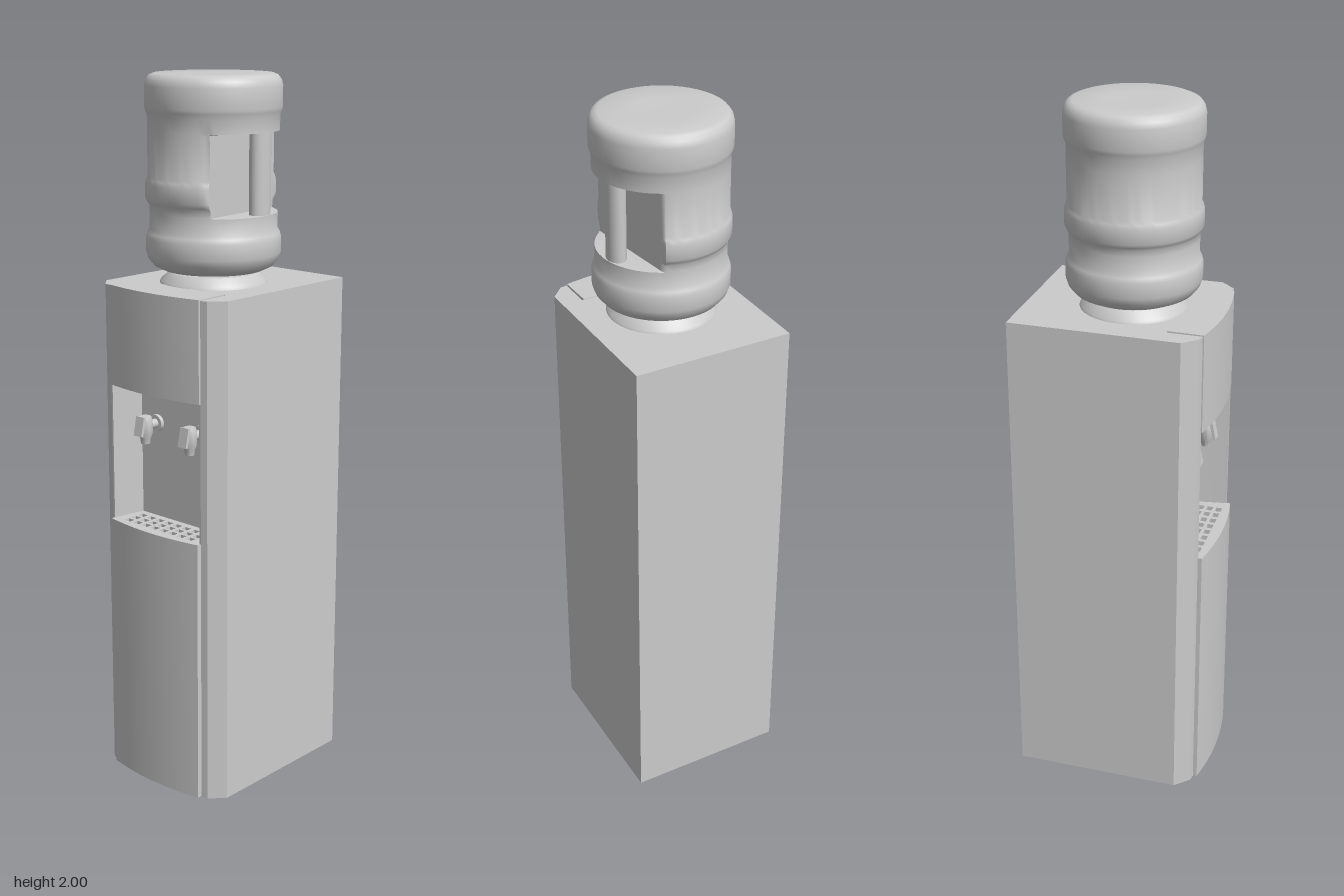
import * as THREE from 'three';
import { toCreasedNormals } from 'three/addons/utils/BufferGeometryUtils.js';

const material = new THREE.MeshStandardMaterial({ color: 0xcccccc });
const BOTTLE_Z = 0.01;

function add(parent, name, geometry, x = 0, y = 0, z = 0) {
  const mesh = new THREE.Mesh(geometry, material);
  mesh.name = name;
  mesh.position.set(x, y, z);
  parent.add(mesh);
  return mesh;
}

// Upright prism from a plan outline given as [x, z] pairs
function prism(plan, y0, y1, holes = []) {
  const toVectors = (list) => list.map(([x, z]) => new THREE.Vector2(x, -z));
  const shape = new THREE.Shape(toVectors(plan));
  holes.forEach((h) => shape.holes.push(new THREE.Path(toVectors(h))));
  const g = new THREE.ExtrudeGeometry(shape, { depth: y1 - y0, bevelEnabled: false });
  g.rotateX(-Math.PI / 2);
  g.translate(0, y0, 0);
  return toCreasedNormals(g, 0.4);
}

// Outline of a front panel with a bowed face
function bowedPlan(halfWidth, back, edge, middle) {
  const pts = [[-halfWidth + 0.002, back]];
  for (let i = 0; i <= 12; i++) {
    const t = i / 6 - 1;
    pts.push([t * halfWidth, middle - (middle - edge) * t * t]);
  }
  pts.push([halfWidth - 0.002, back]);
  return pts;
}

function lathe(points, segments) {
  return new THREE.LatheGeometry(points.map(([r, y]) => new THREE.Vector2(r, y)), segments);
}

function createCabinet() {
  const g = new THREE.Group();
  g.name = 'cabinet';
  // Shell with a channel down the front for the panels
  add(g, 'cabinetShell', prism([
    [-0.228, -0.278], [0.228, -0.278], [0.228, 0.203], [0.19, 0.243], [0.17, 0.247],
    [0.17, 0.15], [-0.17, 0.15], [-0.17, 0.247], [-0.19, 0.243], [-0.228, 0.203],
  ], 0, 1.435));
  add(g, 'lowerPanel', prism(bowedPlan(0.167, 0.149, 0.258, 0.275), 0, 0.745));
  add(g, 'upperPanel', prism(bowedPlan(0.167, 0.149, 0.25, 0.268), 1.155, 1.437));

  // Slotted drip tray on top of the lower panel
  const slots = [];
  for (let row = 0; row < 3; row++) {
    for (let i = 0; i < 8; i++) {
      const x = -0.119 + i * 0.034, z = 0.18 + row * 0.027;
      slots.push([[x - 0.011, z - 0.009], [x + 0.011, z - 0.009], [x + 0.011, z + 0.009], [x - 0.011, z + 0.009]]);
    }
  }
  add(g, 'dripTray', prism(bowedPlan(0.167, 0.149, 0.258, 0.275), 0.745, 0.763, slots));

  // Tapered niche lining
  for (const s of [-1, 1]) {
    add(g, 'nicheSide', prism([[s * 0.17, 0.149], [s * 0.147, 0.149], [s * 0.151, 0.165], [s * 0.165, 0.247], [s * 0.17, 0.247]], 0.763, 1.155));
  }
  const top = new THREE.Shape([[0.149, 1.156], [0.149, 1.133], [0.165, 1.137], [0.25, 1.155]].map(([z, y]) => new THREE.Vector2(-z, y)));
  const topGeometry = new THREE.ExtrudeGeometry(top, { depth: 0.334, bevelEnabled: false });
  topGeometry.rotateY(Math.PI / 2);
  add(g, 'nicheTop', topGeometry, -0.167);
  return g;
}

function createTap(x) {
  const g = new THREE.Group();
  g.name = 'tap';
  const flange = new THREE.CylinderGeometry(0.024, 0.024, 0.012, 20).rotateX(Math.PI / 2);
  add(g, 'tapFlange', flange, 0, 1.04, 0.155);
  add(g, 'tapStem', new THREE.CylinderGeometry(0.013, 0.013, 0.04, 16).rotateX(Math.PI / 2), 0, 1.04, 0.175);
  add(g, 'tapSpout', toCreasedNormals(lathe([[0, 0.99], [0.013, 0.99], [0.015, 1.005], [0.021, 1.02], [0.021, 1.055], [0.017, 1.068], [0, 1.07]], 20), 0.5), 0, 0, 0.2);
  add(g, 'tapLever', new THREE.BoxGeometry(0.03, 0.055, 0.008), 0, 1.042, 0.222).rotation.x = -0.2;
  g.position.x = x;
  return g;
}

function createBottle() {
  const g = new THREE.Group();
  g.name = 'bottle';
  const low = 1.63, high = 1.85;
  const profile = [
    [0.09, 1.435], [0.09, 1.468], [0.14, 1.472], [0.165, 1.484], [0.18, 1.502], [0.186, 1.52],
    [0.186, 1.562], [0.182, 1.575], [0.176, 1.585], [0.176, low], [0.176, low + 0.002],
    [0.176, 1.65], [0.182, 1.658], [0.187, 1.668], [0.187, 1.708], [0.184, 1.72], [0.18, 1.728],
    [0.18, high - 0.002], [0.18, high], [0.18, 1.89], [0.185, 1.902], [0.187, 1.912],
    [0.187, 1.968], [0.183, 1.984], [0.174, 1.995], [0.162, 2], [0.08, 1.998], [0, 1.997],
  ];
  const geometry = lathe(profile, 72);
  // Flatten one side between two heights for the hand recess
  const p = geometry.attributes.position;
  for (let i = 0; i < p.count; i++) {
    const y = p.getY(i);
    if (y > low + 0.001 && y < high - 0.001) {
      p.setX(i, Math.min(p.getX(i), 0.098 + 0.11 * p.getZ(i)));
    }
  }
  add(g, 'bottleBody', toCreasedNormals(geometry, 0.7));

  // Upright grip standing in the recess
  const grip = new THREE.CylinderGeometry(0.034, 0.034, high - low + 0.01, 24);
  grip.scale(0.75, 1, 1);
  add(g, 'bottleHandle', grip, 0.146, (low + high) / 2, -0.025);

  // Collar that seats the bottle on the cabinet
  add(g, 'bottleCollar', toCreasedNormals(lathe([[0.15, 1.434], [0.147, 1.442], [0.122, 1.464], [0.09, 1.466]], 48), 0.6));
  g.position.z = BOTTLE_Z;
  return g;
}

export function createModel() {
  const model = new THREE.Group();
  model.name = 'waterCooler';
  model.add(createCabinet(), createTap(-0.085), createTap(0.085), createBottle());
  return model;
}
